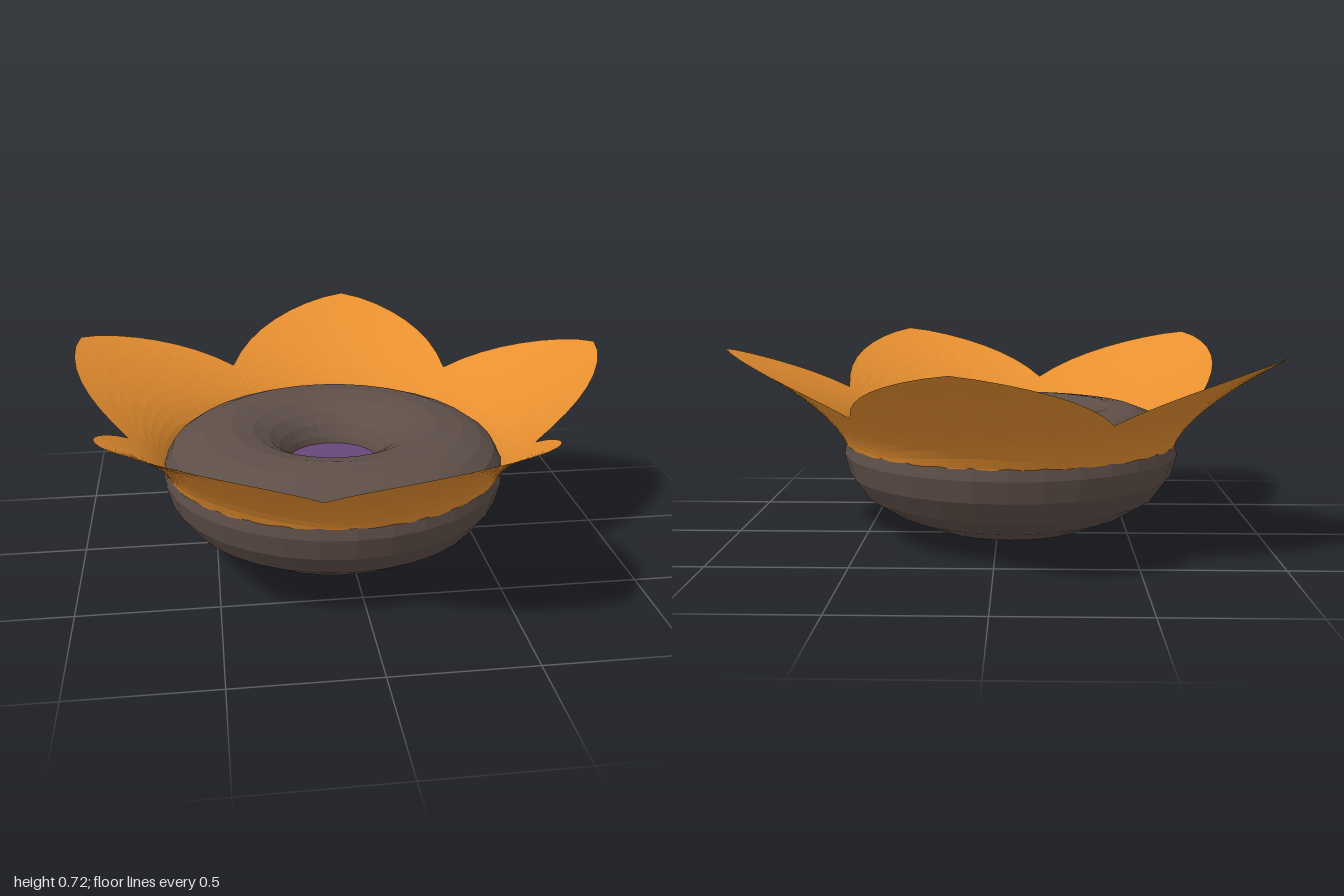
import * as THREE from 'three';

const PETALS = 5;
const TIP_ANGLE = THREE.MathUtils.degToRad(63); // one petal tip, measured from +x towards +z

function material(color, side = THREE.FrontSide) {
  return new THREE.MeshStandardMaterial({ color, side, flatShading: true });
}

function addMesh(parent, name, geometry, mat) {
  const mesh = new THREE.Mesh(geometry, mat);
  mesh.name = name;
  parent.add(mesh);
  return mesh;
}

// Flared corolla: a ring whose outer edge swells into five pointed petals
function corollaGeometry() {
  const geometry = new THREE.PlaneGeometry(1, 1, PETALS * 16, 10);
  const pos = geometry.attributes.position;
  const inner = 0.62;
  for (let i = 0; i < pos.count; i++) {
    const u = pos.getX(i) + 0.5;
    const v = pos.getY(i) + 0.5;
    const phase = (u * PETALS) % 1;
    const off = Math.min(1, Math.abs(phase - 0.5) * 2); // 0 at a tip, 1 in a valley
    const edge = 0.757 + 0.303 * (1 - Math.pow(off, 1.25));
    const r = inner + (edge - inner) * Math.pow(v, 1.7);
    const y = 0.33 + 0.653 * Math.pow(r - inner, 0.628);
    const a = TIP_ANGLE + ((u * PETALS - 0.5) / PETALS) * Math.PI * 2;
    pos.setXYZ(i, r * Math.cos(a), y, r * Math.sin(a));
  }
  geometry.computeVertexNormals();
  return geometry;
}

export function createModel() {
  const model = new THREE.Group();
  model.name = 'flower';

  // Five petals make the outline lopsided, so the axis sits off the origin
  const flower = new THREE.Group();
  flower.name = 'flowerHead';
  flower.position.set(-0.05, 0, 0.05);
  model.add(flower);

  // Rounded bowl that rolls over a crown into a central hole
  const profile = [
    [0, 0], [0.16, 0.01], [0.32, 0.04], [0.45, 0.095], [0.555, 0.16],
    [0.613, 0.24], [0.635, 0.32], [0.628, 0.37], [0.6, 0.42], [0.55, 0.455],
    [0.48, 0.482], [0.38, 0.495], [0.3, 0.478], [0.24, 0.448], [0.2, 0.412],
    [0.175, 0.37], [0.165, 0.33],
  ].map(([r, y]) => new THREE.Vector2(r, y));
  addMesh(flower, 'body', new THREE.LatheGeometry(profile, 32), material(0x5e4e48));

  // Disc at the bottom of the hole
  const centre = addMesh(flower, 'centreDisc', new THREE.CircleGeometry(0.17, 32), material(0x67487a));
  centre.rotation.x = -Math.PI / 2;
  centre.position.y = 0.345;

  addMesh(flower, 'petals', corollaGeometry(), material(0xe89030, THREE.DoubleSide));
  return model;
}
